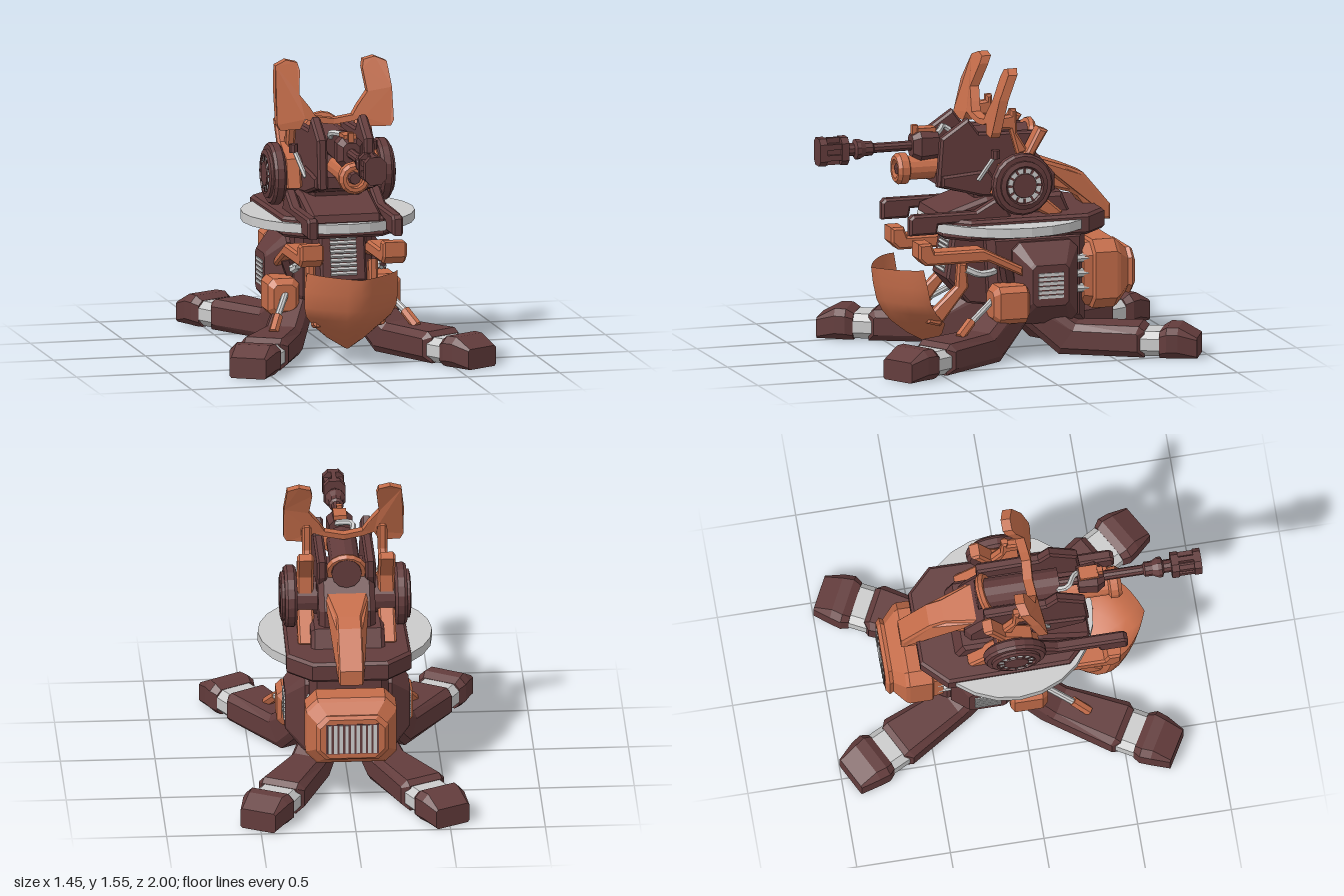
import * as THREE from 'three';

const mat = (color, side = THREE.FrontSide) => new THREE.MeshStandardMaterial({ color, flatShading: true, side });
const DARK = mat(0x633c3c), RUST = mat(0xc56d4a), GREY = mat(0xcccccc);
const RUST_SHEET = new THREE.MeshStandardMaterial({ color: 0xc56d4a, side: THREE.DoubleSide });

// Side profile of [z, y] points, extruded across x with chamfered edges
function profile(pts, width, bevel = 0.012) {
  const shape = new THREE.Shape(pts.map(p => new THREE.Vector2(p[0], p[1])));
  const g = new THREE.ExtrudeGeometry(shape, {
    depth: width - 2 * bevel, bevelThickness: bevel, bevelSize: bevel, bevelOffset: -bevel, bevelSegments: 1,
  });
  return g.translate(0, 0, bevel - width / 2).rotateY(-Math.PI / 2);
}

// Scales the width of a profile from s0 at z0 to s1 at z1
function taper(g, z0, z1, s0, s1) {
  const p = g.attributes.position;
  for (let i = 0; i < p.count; i++) {
    const t = THREE.MathUtils.clamp((p.getZ(i) - z0) / (z1 - z0), 0, 1);
    p.setX(i, p.getX(i) * (s0 + (s1 - s0) * t));
  }
  g.computeVertexNormals();
  return g;
}

// Chamfered rectangles joined along +z: sections are [z, halfW, halfH, chamfer, centreY]
function loft(sections) {
  const pos = [], rings = sections.map(([z, w, h, c, y = 0]) => [
    [w, -h + c], [w, h - c], [w - c, h], [c - w, h], [-w, h - c], [-w, c - h], [c - w, -h], [w - c, -h],
  ].map(p => [p[0], p[1] + y, z]));
  const tri = (...v) => v.forEach(p => pos.push(...p));
  const last = rings[rings.length - 1], first = rings[0];
  for (let j = 0; j < 8; j++) {
    const k = (j + 1) % 8;
    for (let i = 0; i < rings.length - 1; i++) {
      tri(rings[i][j], rings[i][k], rings[i + 1][k]);
      tri(rings[i][j], rings[i + 1][k], rings[i + 1][j]);
    }
    if (j > 0 && j < 7) { tri(last[0], last[j], last[k]); tri(first[0], first[k], first[j]); }
  }
  const g = new THREE.BufferGeometry();
  g.setAttribute('position', new THREE.Float32BufferAttribute(pos, 3));
  g.computeVertexNormals();
  return g;
}

const lathe = (pts, seg) => new THREE.LatheGeometry(pts.map(p => new THREE.Vector2(p[0], p[1])), seg);
const box = (w, h, d) => new THREE.BoxGeometry(w, h, d);

function add(parent, name, geo, material, x = 0, y = 0, z = 0) {
  const m = new THREE.Mesh(geo, material);
  m.name = name;
  m.position.set(x, y, z);
  parent.add(m);
  return m;
}

function rod(parent, name, a, b, r, material, seg = 8) {
  const p = new THREE.Vector3(...a), q = new THREE.Vector3(...b), d = q.clone().sub(p);
  const m = add(parent, name, new THREE.CylinderGeometry(r, r, d.length(), seg), material);
  m.position.copy(p).add(q).multiplyScalar(0.5);
  m.quaternion.setFromUnitVectors(new THREE.Vector3(0, 1, 0), d.normalize());
}

function group(parent, name) {
  const g = new THREE.Group();
  g.name = name;
  parent.add(g);
  return g;
}

// Leg along its own +z, flaring towards the ankle
function buildLeg(parent, name, x, angle) {
  const leg = group(parent, name);
  leg.position.set(x, 0, -0.08);
  leg.rotation.y = angle;
  const limb = profile([[0.24, 0], [0.7, 0], [0.7, 0.14], [0.67, 0.165], [0.33, 0.165], [0.13, 0.3], [-0.02, 0.33], [0.0, 0.2]], 0.265, 0.035);
  add(leg, 'limb', taper(limb, 0.24, 0.67, 0.7, 1), DARK);
  add(leg, 'ankleBand', loft([[0.68, 0.118, 0.066, 0.035, 0.072], [0.81, 0.118, 0.066, 0.035, 0.072]]), GREY);
  add(leg, 'foot', loft([[0.78, 0.118, 0.07, 0.025, 0.07], [0.82, 0.137, 0.082, 0.035, 0.082], [0.88, 0.128, 0.082, 0.035, 0.082], [0.98, 0.1, 0.055, 0.01, 0.055]]), DARK);
}

function buildHull(root) {
  const hull = group(root, 'hull');
  add(hull, 'hullCore', profile([[0.12, 0.66], [0.1, 0.3], [0.0, 0.16], [-0.43, 0.16], [-0.43, 0.66]], 0.42, 0.04), DARK);
  add(hull, 'neck', profile([[0.28, 0.67], [0.32, 0.42], [0.2, 0.28], [0.0, 0.25], [0, 0.67]], 0.25), DARK);
  for (let i = 0; i < 9; i++) {
    const y = 0.453 + i * 0.023, z = 0.313 - i * 0.0037;
    rod(hull, 'neckRib', [-0.07, y, z], [0.07, y, z], 0.011, GREY, 6);
  }

  // Side vents and hoses to the engine
  for (const s of [-1, 1]) {
    const vent = group(hull, 'sideVent');
    vent.position.set(s * 0.19, 0.39, -0.19);
    vent.rotation.y = s * Math.PI / 2;
    add(vent, 'housing', loft([[0, 0.18, 0.22, 0.04], [0.04, 0.18, 0.22, 0.04], [0.13, 0.11, 0.12, 0.02], [0.14, 0.1, 0.11, 0.02]]), DARK);
    for (let i = 0; i < 6; i++) add(vent, 'slat', box(0.14, 0.016, 0.014), GREY, 0, -0.06 + i * 0.024, 0.14);
    for (let i = 0; i < 3; i++) rod(hull, 'engineHose', [s * 0.2, 0.34 + i * 0.08, -0.34], [s * 0.2, 0.34 + i * 0.08, -0.44], 0.024, GREY);
  }

  // Rear engine with barred grille
  add(hull, 'engine', loft([[-0.71, 0.17, 0.11, 0.05], [-0.69, 0.19, 0.125, 0.05], [-0.67, 0.18, 0.12, 0.05], [-0.61, 0.235, 0.17, 0.06], [-0.59, 0.24, 0.185, 0.06], [-0.47, 0.24, 0.185, 0.06], [-0.46, 0.225, 0.17, 0.06], [-0.41, 0.22, 0.165, 0.06]]), RUST, 0, 0.405, 0);
  add(hull, 'grillePanel', box(0.28, 0.17, 0.008), DARK, 0, 0.405, -0.708);
  for (let i = 0; i < 9; i++) add(hull, 'grilleBar', box(0.018, 0.16, 0.008), GREY, -0.12 + i * 0.03, 0.405, -0.712);

  for (const s of [-1, 1]) {
    // Fender arm, joint pod and leg piston
    add(hull, 'fender', profile([[0.53, 0.65], [0.46, 0.65], [0.44, 0.6], [0.17, 0.6], [-0.05, 0.49], [-0.05, 0.44], [0.14, 0.53], [0.49, 0.53], [0.53, 0.57]], 0.13), RUST, s * 0.225);
    add(hull, 'jointPod', loft([[-0.07, 0.06, 0.07, 0.02], [-0.05, 0.085, 0.1, 0.03], [0.1, 0.085, 0.1, 0.03], [0.13, 0.06, 0.07, 0.02]]), RUST, s * 0.275, 0.3, 0);
    rod(hull, 'jointStrut', [s * 0.2, 0.4, 0], [s * 0.24, 0.5, 0.03], 0.04, DARK, 6);
    rod(hull, 'piston', [s * 0.26, 0.33, 0.1], [s * 0.37, 0.2, 0.3], 0.018, GREY);
    rod(hull, 'pistonFoot', [s * 0.345, 0.23, 0.26], [s * 0.39, 0.16, 0.34], 0.027, RUST, 6);
    const path = new THREE.CatmullRomCurve3([[0.12, 0.46, 0.06], [0.22, 0.46, 0.1], [0.24, 0.46, 0.18], [0.23, 0.49, 0.25]].map(p => new THREE.Vector3(p[0] * s, p[1], p[2])));
    add(hull, 'pipe', new THREE.TubeGeometry(path, 10, 0.02, 6), GREY);
    add(hull, 'scoopBracket', profile([[0.28, 0.52], [0.23, 0.51], [0.22, 0.38], [0.38, 0.18], [0.45, 0.2], [0.44, 0.25], [0.29, 0.39]], 0.05), RUST, s * 0.17);
  }
}

// Curved front scoop with a soft keel: rows are [y, halfWidth, front z, side z]
function buildScoop(root) {
  const rows = [[0.485, 0.245, 0.7, 0.49], [0.4, 0.255, 0.69, 0.47], [0.31, 0.25, 0.67, 0.45], [0.25, 0.23, 0.64, 0.41], [0.19, 0.18, 0.59, 0.35], [0.12, 0.1, 0.5, 0.34], [0.065, 0.01, 0.4, 0.36]];
  const N = 12, g = new THREE.PlaneGeometry(1, 1, N, rows.length - 1), p = g.attributes.position;
  rows.forEach(([y, w, zf, zs], i) => {
    for (let j = 0; j <= N; j++) {
      const a = (j / N - 0.5) * Math.PI, k = 0.6 * Math.cos(a) + 0.4 * (1 - Math.abs(Math.sin(a)));
      p.setXYZ(i * (N + 1) + j, w * Math.sin(a), y + (i ? 0 : 0.015 * Math.abs(Math.sin(a))), zs + (zf - zs) * k);
    }
  });
  g.computeVertexNormals();
  add(root, 'frontScoop', g, RUST_SHEET);
}

function buildDeck(root) {
  const deck = group(root, 'deck');
  add(deck, 'turntableRing', new THREE.CylinderGeometry(0.46, 0.46, 0.05, 24), GREY, 0, 0.71, -0.04);
  const outline = new THREE.Shape([[0.32, 0.25], [0.2, 0.37], [-0.2, 0.37], [-0.32, 0.25], [-0.33, -0.4], [-0.2, -0.53], [0.2, -0.53], [0.33, -0.4]].map(p => new THREE.Vector2(p[0], -p[1])));
  const plate = new THREE.ExtrudeGeometry(outline, { depth: 0.08, bevelThickness: 0.015, bevelSize: 0.015, bevelOffset: -0.015, bevelSegments: 1 });
  add(deck, 'deckPlate', plate.rotateX(-Math.PI / 2), DARK, 0, 0.667, 0);
  add(deck, 'deckHood', profile([[0.38, 0.74], [0.37, 0.78], [0.12, 0.86], [-0.3, 0.86], [-0.35, 0.74]], 0.39, 0.02), DARK);
  for (const s of [-1, 1]) {
    add(deck, 'deckArm', profile([[0.57, 0.69], [0.57, 0.78], [0.55, 0.8], [0.2, 0.8], [0.07, 0.87], [0.0, 0.75], [0.41, 0.74], [0.42, 0.69]], 0.06), DARK, s * 0.23);
  }
}

function buildTurret(root) {
  const turret = group(root, 'turret');
  add(turret, 'turretCore', profile([[0.15, 0.8], [0.2, 0.95], [0.1, 1.1], [-0.15, 1.1], [-0.28, 0.95], [-0.28, 0.8]], 0.3, 0.03), DARK);
  rod(turret, 'axle', [-0.28, 0.94, -0.04], [0.28, 0.94, -0.04], 0.1, DARK, 16);
  rod(turret, 'breech', [0, 1.13, -0.2], [0, 1.13, 0.24], 0.08, DARK, 12);
  add(turret, 'breechCollar', new THREE.TorusGeometry(0.09, 0.022, 6, 16), RUST, 0, 1.13, -0.15).rotation.x = -0.35;
  add(turret, 'cradle', profile([[0.36, 0.92], [0.36, 0.98], [0.1, 1.0], [0.0, 0.85], [0.14, 0.86]], 0.34), DARK);

  // Rear spine, narrowing towards the tail
  const spine = profile([[-0.08, 1.1], [-0.2, 1.03], [-0.38, 0.965], [-0.46, 0.93], [-0.61, 0.75], [-0.61, 0.67], [-0.53, 0.67], [-0.43, 0.8], [-0.38, 0.83], [-0.22, 0.88], [-0.05, 0.9]], 0.24, 0.015);
  add(turret, 'rearSpine', taper(spine, -0.37, -0.22, 0.56, 1), RUST);

  const wheel = [[0.001, 0], [0.15, 0], [0.166, 0.015], [0.166, 0.05], [0.155, 0.065], [0.13, 0.065], [0.13, 0.08], [0.105, 0.087], [0.098, 0.075], [0.001, 0.075]];
  for (const s of [-1, 1]) {
    // Side wheel with studded hub
    const w = group(turret, 'sideWheel');
    w.position.set(s * 0.258, 0.94, -0.04);
    w.rotation.z = -s * Math.PI / 2;
    add(w, 'drum', lathe(wheel, 20), DARK);
    add(w, 'hubRing', new THREE.CylinderGeometry(0.092, 0.092, 0.01, 20), GREY, 0, 0.076, 0);
    add(w, 'hub', new THREE.CylinderGeometry(0.065, 0.073, 0.025, 16), DARK, 0, 0.076, 0);
    for (let i = 0; i < 12; i++) {
      const a = i * Math.PI / 6;
      add(w, 'hubStud', box(0.012, 0.012, 0.028), DARK, 0.083 * Math.sin(a), 0.079, 0.083 * Math.cos(a)).rotation.y = a;
    }
    add(turret, 'sideArmour', profile([[-0.2, 1.21], [-0.15, 1.23], [-0.08, 1.1], [0.06, 1.03], [0.1, 0.88], [0.0, 0.86], [-0.25, 0.72], [-0.28, 0.77], [-0.13, 0.9], [-0.12, 1.08]], 0.09), RUST, s * 0.215);
    add(turret, 'shieldPlate', profile([[0.21, 1.28], [0.36, 1.18], [0.38, 0.92], [0.14, 0.86], [-0.08, 0.9], [-0.18, 1.1], [-0.18, 1.19], [0.15, 1.2]], 0.055), DARK, s * 0.128);
    rod(turret, 'shieldPiston', [s * 0.17, 0.95, 0.16], [s * 0.215, 1.09, 0.08], 0.013, GREY, 6);
    rod(turret, 'pistonCap', [s * 0.215, 1.07, 0.08], [s * 0.215, 1.115, 0.08], 0.025, DARK);

    // Raised horn blade, leaning back, with half of the cross bar
    const pts = [[0.3, 1.2], [0.317, 1.23], [0.317, 1.4], [0.302, 1.53], [0.24, 1.555], [0.18, 1.54], [0.17, 1.5], [0.185, 1.38], [0.13, 1.31], [0.1, 1.262], [0, 1.245], [0, 1.215], [0.1, 1.23], [0.16, 1.25], [0.19, 1.2]];
    const horn = new THREE.ExtrudeGeometry(new THREE.Shape(pts.map(q => new THREE.Vector2(q[0] * s, q[1]))), { depth: 0.05, bevelEnabled: false });
    const h = horn.attributes.position;
    for (let i = 0; i < h.count; i++) {
      const t = (h.getY(i) - 1.2) / 0.355;
      h.setZ(i, h.getZ(i) + 0.08 - 0.04 * t - 0.07 * t * t + 0.1 * (Math.abs(h.getX(i)) - 0.24));
    }
    horn.computeVertexNormals();
    add(turret, 'horn', horn, RUST);
    add(turret, 'hornBracket', profile([[0.09, 1.29], [0.0, 1.3], [0, 1.33], [-0.035, 1.33], [-0.04, 1.2], [-0.1, 1.1], [-0.04, 1.08], [0.0, 1.22], [0.09, 1.23]], 0.05), RUST, s * 0.2);
  }
}

function buildGun(root) {
  const gun = group(root, 'gun');
  gun.position.y = 1.125;
  const turned = (name, pts, seg, material, y = 0) => add(gun, name, lathe(pts, seg).rotateX(Math.PI / 2), material, 0, y, 0);
  turned('barrel', [[0.001, 0.2], [0.027, 0.2], [0.027, 0.69], [0.04, 0.7], [0.04, 0.74], [0.055, 0.77], [0.055, 0.79], [0.035, 0.8], [0.035, 0.84], [0.001, 0.84]], 10, DARK);
  add(gun, 'mount', loft([[0.34, 0.06, 0.07, 0.025], [0.44, 0.07, 0.08, 0.03], [0.48, 0.045, 0.055, 0.02]]), DARK);
  add(gun, 'mountClip', box(0.07, 0.03, 0.1), RUST, 0, 0.08, 0.4);
  add(gun, 'sight', box(0.03, 0.05, 0.03), RUST, 0, 0.085, 0.46);

  // Slotted muzzle: two collars joined by bars around a core
  for (const z of [0.84, 0.96]) add(gun, 'muzzleCollar', loft([[z, 0.057, 0.074, 0.028], [z + 0.04, 0.057, 0.074, 0.028]]), DARK);
  add(gun, 'muzzleCore', loft([[0.86, 0.035, 0.045, 0.018], [0.98, 0.035, 0.045, 0.018]]), DARK);
  for (let i = 0; i < 6; i++) {
    const a = i * Math.PI / 3 + Math.PI / 6;
    add(gun, 'muzzleBar', box(0.025, 0.03, 0.12), DARK, 0.045 * Math.cos(a), 0.058 * Math.sin(a), 0.92);
  }

  // Lower launcher tube and its feed hose
  turned('launcher', [[0.001, 0.2], [0.065, 0.2], [0.065, 0.5], [0.085, 0.51], [0.085, 0.55], [0.07, 0.57], [0.05, 0.57], [0.05, 0.53], [0.001, 0.53]], 14, RUST, -0.12);
  turned('launcherCore', [[0.001, 0.5], [0.04, 0.5], [0.03, 0.56], [0.001, 0.56]], 8, DARK, -0.12);
  const hose = new THREE.CatmullRomCurve3([[-0.05, 0.04, 0.22], [-0.06, 0.08, 0.28], [0.0, 0.07, 0.32], [0.03, 0.04, 0.37]].map(q => new THREE.Vector3(...q)));
  add(gun, 'feedHose', new THREE.TubeGeometry(hose, 10, 0.016, 6), GREY);
}

export function createModel() {
  const root = new THREE.Group();
  root.name = 'walkerTurret';
  for (const s of [-1, 1]) {
    buildLeg(root, 'frontLeg', s * 0.147, s * Math.PI / 6);
    buildLeg(root, 'backLeg', s * 0.07, s * Math.PI * 0.85);
  }
  buildHull(root);
  buildScoop(root);
  buildDeck(root);
  buildTurret(root);
  buildGun(root);
  return root;
}
